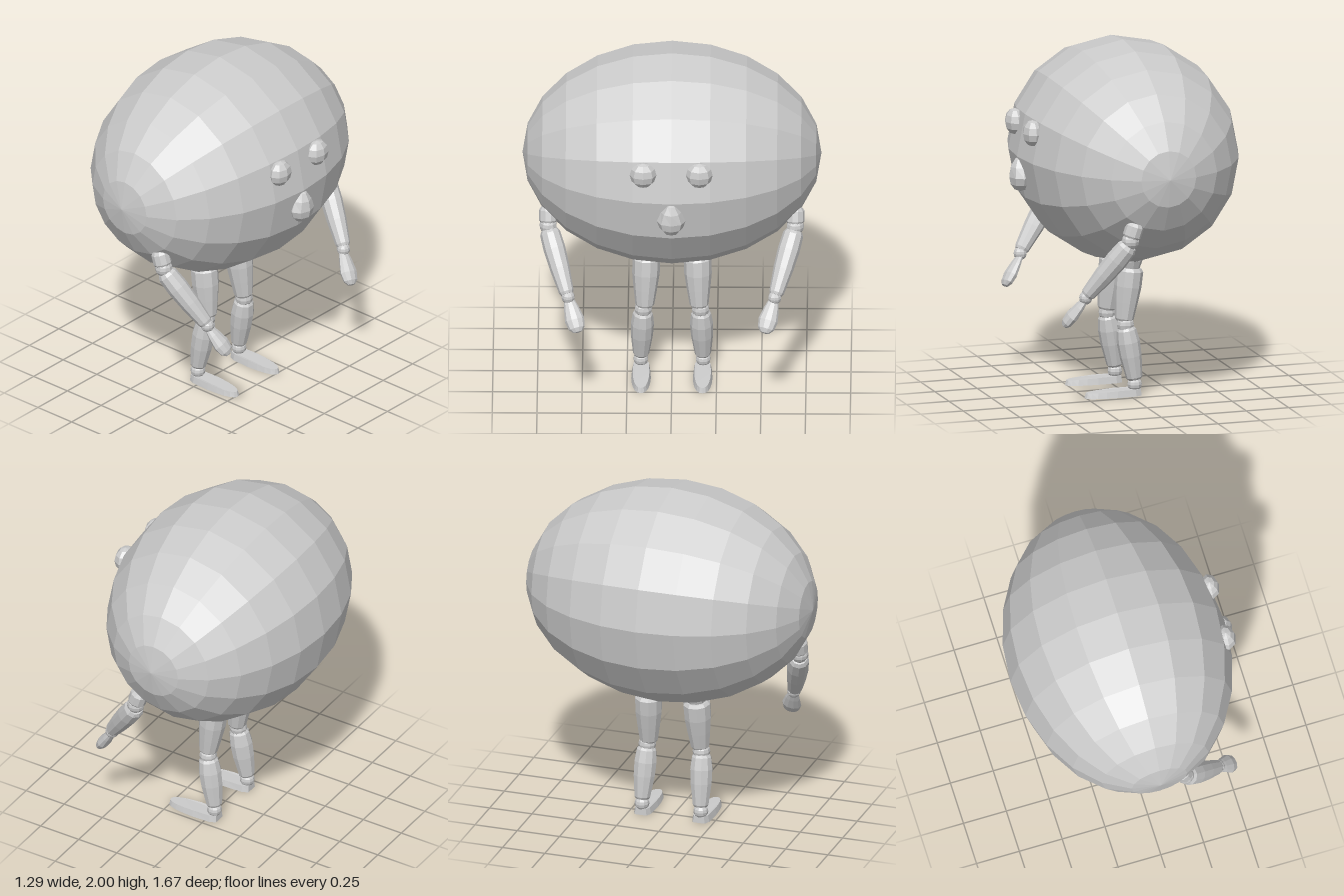
import * as THREE from 'three';

const material = new THREE.MeshStandardMaterial({ color: 0xcccccc, flatShading: true });

export function createModel() {
  const model = new THREE.Group();

  const add = (parent, name, geometry, x = 0, y = 0, z = 0) => {
    const mesh = new THREE.Mesh(geometry, material);
    mesh.name = name;
    mesh.position.set(x, y, z);
    parent.add(mesh);
    return mesh;
  };

  // A turned piece from a to b; profile holds [radius, fraction along the length]
  const turned = (parent, name, a, b, profile, thickness = 1) => {
    const start = new THREE.Vector3(...a);
    const along = new THREE.Vector3(...b).sub(start);
    const length = along.length();
    along.normalize();
    const side = along.clone().cross(new THREE.Vector3(0, 0, 1)).normalize();
    const width = side.clone().cross(along);
    const points = profile.map(([r, t]) => new THREE.Vector2(r, t * length));
    const mesh = add(parent, name, new THREE.LatheGeometry(points, 10), ...a);
    mesh.quaternion.setFromRotationMatrix(new THREE.Matrix4().makeBasis(side, along, width));
    mesh.scale.x = thickness;
  };
  const ball = (parent, name, r, x, y, z) =>
    add(parent, name, new THREE.SphereGeometry(r, 10, 8), x, y, z);

  // Egg-shaped body, lying sideways along z
  const bodyGeometry = new THREE.SphereGeometry(0.625, 16, 12);
  bodyGeometry.rotateX(Math.PI / 2).scale(1, 1, 0.835 / 0.625);
  add(model, 'body', bodyGeometry, -0.025, 1.375, 0);

  // Nose, narrowing towards the top
  const noseGeometry = new THREE.SphereGeometry(1, 8, 6);
  const p = noseGeometry.attributes.position;
  for (let i = 0; i < p.count; i++) {
    const y = p.getY(i);
    const taper = y > 0 ? 1 - 0.35 * y : 1 + 0.1 * y;
    p.setXYZ(i, p.getX(i) * 0.065, y > 0 ? y * 0.115 : y * 0.085, p.getZ(i) * 0.08 * taper);
  }
  add(model, 'nose', noseGeometry, 0.58, 1.26, 0);

  // Foot outline: narrow heel, rounded toe
  const sole = new THREE.Shape();
  sole.moveTo(-0.065, -0.035);
  sole.lineTo(-0.03, -0.05);
  sole.lineTo(0.08, -0.055);
  sole.quadraticCurveTo(0.26, -0.05, 0.26, 0);
  sole.quadraticCurveTo(0.26, 0.05, 0.08, 0.055);
  sole.lineTo(-0.03, 0.05);
  sole.lineTo(-0.065, 0.035);
  sole.closePath();
  const footGeometry = new THREE.ExtrudeGeometry(sole, { depth: 0.038, bevelEnabled: false, curveSegments: 5 });
  footGeometry.rotateX(-Math.PI / 2);
  // Slope the top down towards the toe
  const f = footGeometry.attributes.position;
  for (let i = 0; i < f.count; i++) {
    if (f.getY(i) > 0.01) {
      f.setY(i, 0.038 - 0.045 * Math.max(0, f.getX(i) - 0.06));
      f.setX(i, f.getX(i) * 0.97);
      f.setZ(i, f.getZ(i) * 0.85);
    }
  }

  for (const [s, label] of [[1, 'right'], [-1, 'left']]) {
    const eye = add(model, label + 'Eye', new THREE.SphereGeometry(0.075, 8, 6), 0.56, 1.54, s * 0.157);
    eye.scale.x = 0.75;

    // Arm, reaching forward and inward
    const arm = new THREE.Group();
    arm.name = label + 'Arm';
    turned(arm, 'shoulder', [0.13, 1.11, s * 0.69], [0.16, 1.02, s * 0.69],
      [[0, 0], [0.04, 0], [0.052, 0.2], [0.052, 0.8], [0.04, 1], [0, 1]]);
    ball(arm, 'shoulderJoint', 0.05, 0.162, 1.01, s * 0.69);
    turned(arm, 'armSegment', [0.168, 0.985, s * 0.685], [0.383, 0.69, s * 0.583],
      [[0, 0], [0.045, 0], [0.058, 0.06], [0.062, 0.3], [0.056, 0.6], [0.042, 0.96], [0.035, 1], [0, 1]]);
    ball(arm, 'wristJoint', 0.038, 0.388, 0.676, s * 0.577);
    turned(arm, 'hand', [0.392, 0.66, s * 0.572], [0.5, 0.507, s * 0.52],
      [[0, 0], [0.028, 0], [0.042, 0.25], [0.055, 0.6], [0.046, 0.85], [0.025, 0.97], [0, 1]], 0.62);
    model.add(arm);

    // Leg, slightly bent at the knee
    const leg = new THREE.Group();
    leg.name = label + 'Leg';
    turned(leg, 'hip', [-0.02, 0.82, s * 0.14], [-0.02, 0.715, s * 0.142],
      [[0, 0], [0.07, 0], [0.07, 0.5], [0.055, 0.9], [0.05, 1], [0, 1]]);
    turned(leg, 'thigh', [-0.017, 0.725, s * 0.142], [0.02, 0.425, s * 0.152],
      [[0, 0], [0.065, 0], [0.078, 0.06], [0.077, 0.35], [0.066, 0.65], [0.053, 0.96], [0.045, 1], [0, 1]]);
    ball(leg, 'kneeJoint', 0.05, 0.015, 0.405, s * 0.16);
    turned(leg, 'shin', [0.013, 0.388, s * 0.162], [-0.035, 0.09, s * 0.173],
      [[0, 0], [0.045, 0], [0.056, 0.05], [0.065, 0.28], [0.062, 0.55], [0.046, 0.96], [0.038, 1], [0, 1]]);
    ball(leg, 'ankleJoint', 0.042, -0.035, 0.062, s * 0.174);
    add(leg, 'foot', footGeometry, 0, 0, s * 0.172);
    model.add(leg);
  }

  return model;
}
